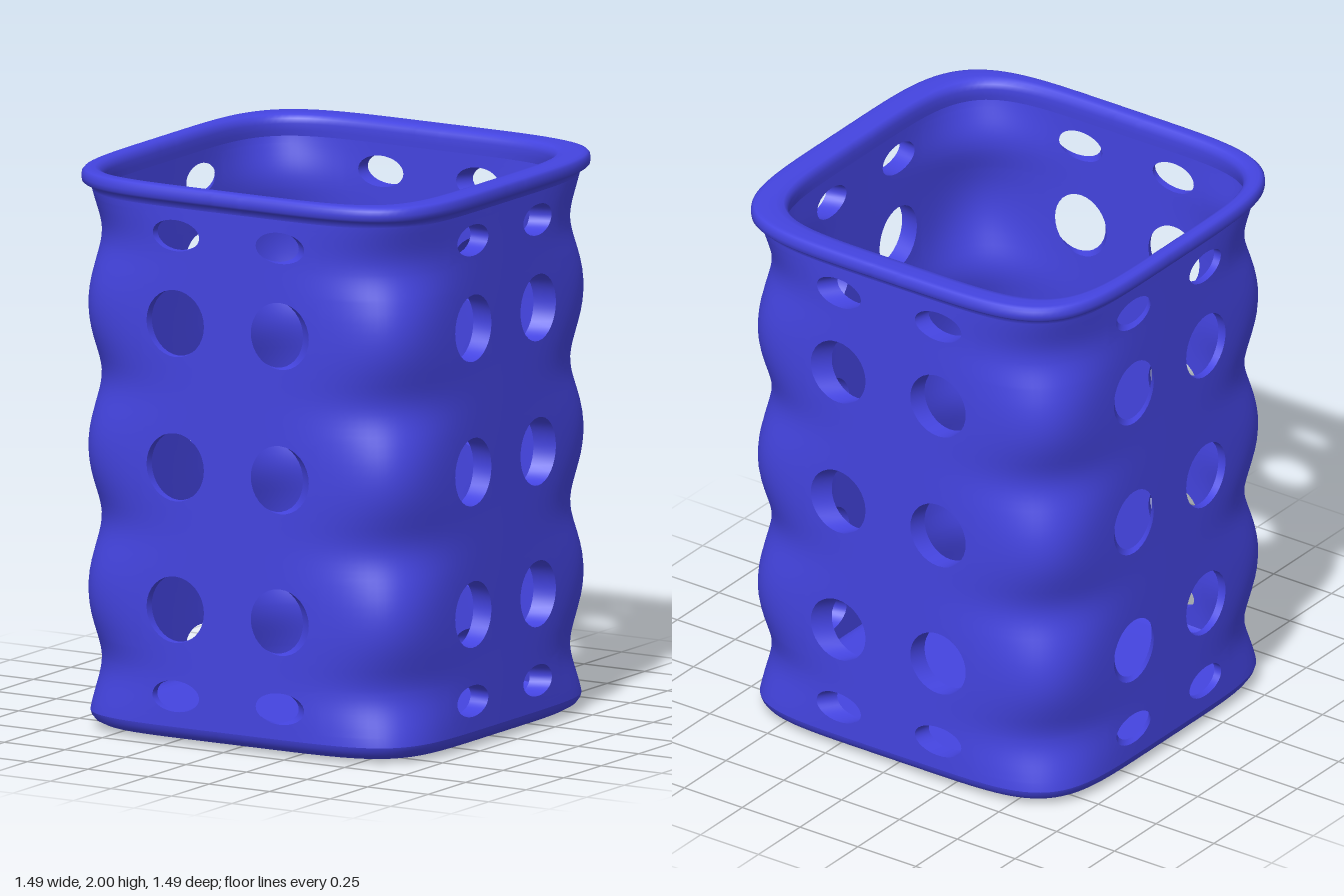
import * as THREE from 'three';
import { mergeVertices } from 'three/addons/utils/BufferGeometryUtils.js';

const SEG = 8;              // subdivisions per wall cell
const OUT = 0.708, IN = 0.66; // half widths of the outer and inner wall
const HOLE_X = 0.217;

// Column and row borders of the wall cells; some rows carry holes
const cols = [-0.71, -0.377, -0.057, 0.057, 0.377, 0.71];
const rows = [0.06, 0.095, 0.245, 0.33, 0.63, 0.84, 1.14, 1.35, 1.65, 1.745, 1.895, 1.92];
const holeRows = {
  1: { y: 0.17, rx: 0.1, ry: 0.056 },
  3: { y: 0.48, rx: 0.12, ry: 0.119 },
  5: { y: 0.99, rx: 0.12, ry: 0.122 },
  7: { y: 1.505, rx: 0.12, ry: 0.12 },
  9: { y: 1.82, rx: 0.1, ry: 0.056 },
};

// Squareness of the cross-section: it swings with height, so the corners ripple
const squareness = (y) => 4.8 - 0.95 * Math.cos((2 * Math.PI * (y - 0.24)) / 0.51);

// Point on side k of a superellipse ring; shift slides the inside slightly off centre
function ringPoint(k, s, y, half, n, shift) {
  const t = s / 0.71;
  const f = half / Math.pow(1 + Math.pow(Math.abs(t), n), 1 / n);
  let x = t * f, z = f;
  for (let i = 0; i < k; i++) [x, z] = [z, -x];
  return [x - 0.02 * shift, y, z + 0.018 * shift];
}
const outer = (k, s, y) => ringPoint(k, s, y, OUT, squareness(y), 0);
const inner = (k, s, y) => ringPoint(k, s, y, IN, squareness(y), 1);

// Collects grid patches and turns them into one smooth mesh
class Surface {
  constructor() { this.positions = []; this.index = []; }
  patch(ni, nj, point, flip = false) {
    const base = this.positions.length / 3;
    for (let j = 0; j <= nj; j++)
      for (let i = 0; i <= ni; i++) this.positions.push(...point(i, j));
    for (let j = 0; j < nj; j++)
      for (let i = 0; i < ni; i++) {
        const a = base + j * (ni + 1) + i, b = a + 1, d = a + ni + 1, c = d + 1;
        if (flip) this.index.push(a, c, b, a, d, c);
        else this.index.push(a, b, c, a, c, d);
      }
  }
  mesh(name, material) {
    let g = new THREE.BufferGeometry();
    g.setAttribute('position', new THREE.Float32BufferAttribute(this.positions, 3));
    g.setIndex(this.index);
    g = mergeVertices(g, 1e-5);
    g.computeVertexNormals();
    const m = new THREE.Mesh(g, material);
    m.name = name;
    return m;
  }
}

const lerp = THREE.MathUtils.lerp;
const isHole = (c, r) => (c === 1 || c === 3) && holeRows[r];

// Point i of the cell border, counter-clockwise from the lower left corner
function border(c, r, i) {
  const f = ((i % SEG) / SEG) * 2 - 1;
  const [u, v] = [[f, -1], [1, f], [-f, 1], [-1, -f]][Math.floor(i / SEG) % 4];
  return [lerp(cols[c], cols[c + 1], (u + 1) / 2), lerp(rows[r], rows[r + 1], (v + 1) / 2)];
}
// Matching point on the hole's edge
function holeEdge(c, r, i) {
  const a = -0.75 * Math.PI + ((i % (4 * SEG)) / (4 * SEG)) * 2 * Math.PI;
  const h = holeRows[r];
  return [(c === 1 ? -HOLE_X : HOLE_X) - 0.01 + h.rx * Math.cos(a), h.y + h.ry * Math.sin(a)];
}

// Perforated wall, inside or outside
function makeWall(name, surf, flip, material) {
  const wall = new Surface();
  for (let k = 0; k < 4; k++)
    for (let c = 0; c < cols.length - 1; c++)
      for (let r = 0; r < rows.length - 1; r++) {
        if (isHole(c, r)) {
          wall.patch(4 * SEG, 4, (i, j) => {
            const p = border(c, r, i), q = holeEdge(c, r, i);
            return surf(k, lerp(p[0], q[0], j / 4), lerp(p[1], q[1], j / 4));
          }, flip);
        } else {
          wall.patch(SEG, SEG, (i, j) => surf(k,
            lerp(cols[c], cols[c + 1], i / SEG), lerp(rows[r], rows[r + 1], j / SEG)), flip);
        }
      }
  return wall.mesh(name, material);
}

// Sweep of a profile round the basket; each row is [half width, y, squareness, shift]
function makeSweep(name, profile, material) {
  const sweep = new Surface();
  for (let k = 0; k < 4; k++)
    for (let c = 0; c < cols.length - 1; c++)
      sweep.patch(SEG, profile.length - 1, (i, j) => {
        const [half, y, n, shift] = profile[j];
        return ringPoint(k, lerp(cols[c], cols[c + 1], i / SEG), y, half, n, shift);
      });
  return sweep.mesh(name, material);
}

export function createModel() {
  const group = new THREE.Group();
  group.name = 'perforatedBasket';
  const blue = new THREE.MeshStandardMaterial({ color: 0x4444e0 });

  group.add(makeWall('outerWall', outer, false, blue));
  group.add(makeWall('innerWall', inner, true, blue));

  // Thickness of the wall inside each hole
  const edges = new Surface();
  for (let k = 0; k < 4; k++)
    for (const c of [1, 3])
      for (const r of Object.keys(holeRows))
        edges.patch(4 * SEG, 1, (i, j) => (j ? inner : outer)(k, ...holeEdge(c, r, i)));
  group.add(edges.mesh('holeEdges', blue));

  // Rolled rim, from the outer wall over the top to the inner wall
  const nTop = squareness(1.92), nLow = squareness(0.06);
  group.add(makeSweep('rim', [
    [OUT, 1.92, nTop, 0], [0.711, 1.932, 5, 0], [0.722, 1.942, 4.9, 0], [0.736, 1.947, 4.8, 0],
    [0.743, 1.955, 4.8, 0], [0.745, 1.97, 4.8, 0], [0.743, 1.987, 4.8, 0], [0.736, 1.996, 4.8, 0],
    [0.725, 2, 4.8, 0.1], [0.69, 2, 4.8, 0.7], [0.672, 1.995, 4.8, 1], [0.662, 1.983, 4.8, 1],
    [0.658, 1.965, 4.8, 1], [0.659, 1.94, 4.9, 1], [IN, 1.92, nTop, 1],
  ], blue));

  // Underside with rounded edge
  group.add(makeSweep('base', [
    [0, 0, nLow, 0], [0.3, 0, nLow, 0], [0.58, 0.002, nLow, 0], [0.63, 0.005, nLow, 0],
    [0.67, 0.013, nLow, 0], [0.693, 0.027, nLow, 0], [0.704, 0.044, nLow, 0], [OUT, 0.06, nLow, 0],
  ], blue));

  // Floor inside
  group.add(makeSweep('floor', [
    [IN, 0.06, nLow, 1], [0.652, 0.05, nLow, 1], [0.63, 0.043, nLow, 1],
    [0.59, 0.04, nLow, 1], [0.3, 0.04, nLow, 1], [0, 0.04, nLow, 1],
  ], blue));

  return group;
}
